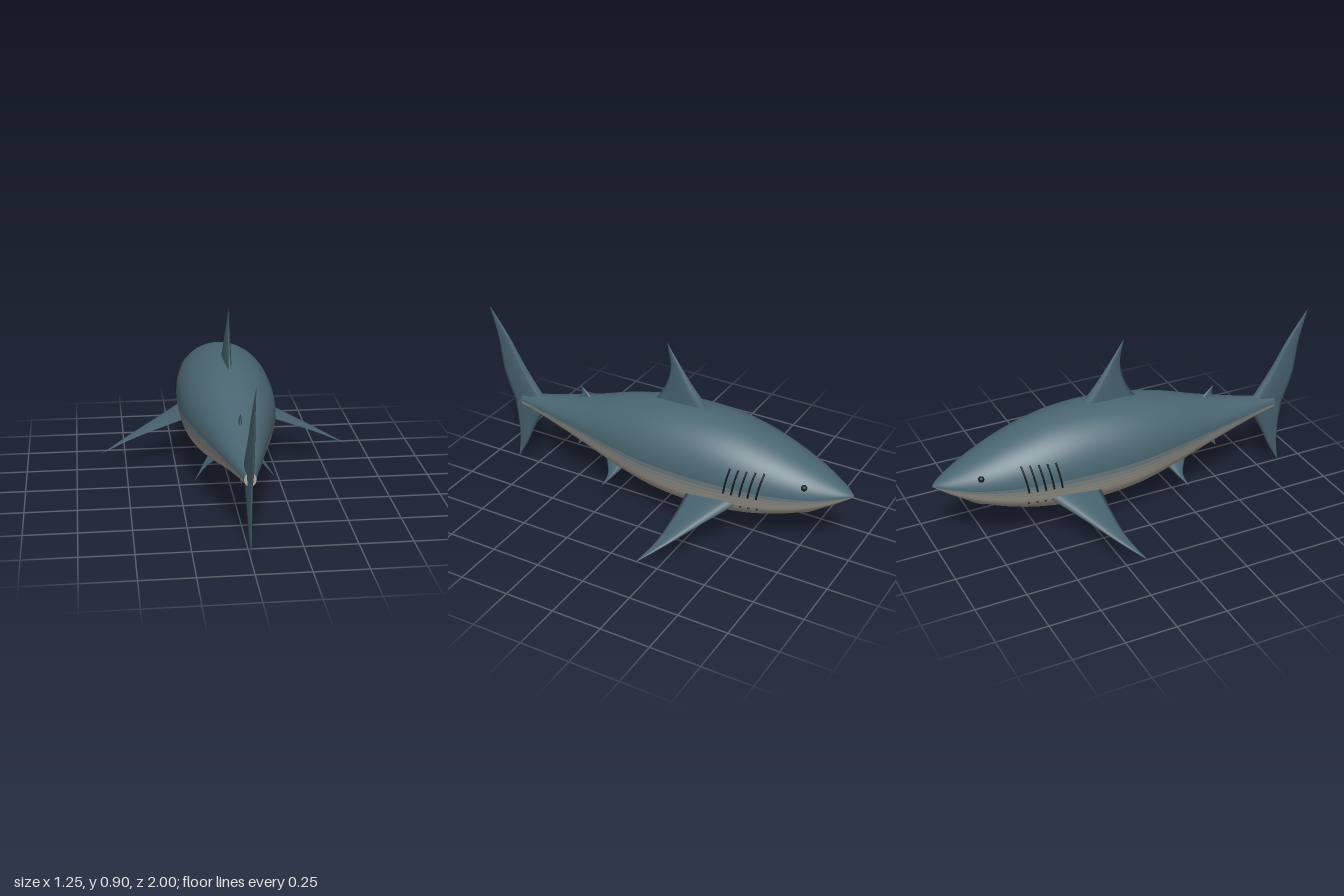
import * as THREE from 'three';

const mat = (color) => new THREE.MeshStandardMaterial({ color, roughness: 0.7 });
const V = (p) => new THREE.Vector3(...p);

// Body stations from snout (-z) to tail: z, then top, bottom, half width
const STATIONS = [
  [-1, 0.364, 0.358, 0.003], [-0.97, 0.383, 0.338, 0.035], [-0.9, 0.42, 0.292, 0.084],
  [-0.8, 0.468, 0.237, 0.136], [-0.6, 0.545, 0.166, 0.2], [-0.4, 0.595, 0.128, 0.231],
  [-0.2, 0.609, 0.117, 0.238], [0, 0.595, 0.135, 0.226], [0.2, 0.555, 0.179, 0.186],
  [0.4, 0.493, 0.236, 0.133], [0.6, 0.439, 0.289, 0.082], [0.75, 0.407, 0.319, 0.042],
  [0.82, 0.395, 0.33, 0.027],
];
const profile = new THREE.CubicInterpolant(
  STATIONS.map((s) => s[0]), STATIONS.flatMap((s) => s.slice(1)), 3);

// Point on the skin at z and angle a (0 = +x side, PI/2 = top)
function skin(z, a, lift = 0) {
  const [top, bottom, w] = profile.evaluate(z);
  return new THREE.Vector3(
    Math.cos(a) * (w + lift),
    (top + bottom) / 2 + Math.sin(a) * ((top - bottom) / 2 + lift), z);
}

// Angle on the +x side at which the skin reaches height y
function angleAt(z, y) {
  const [top, bottom] = profile.evaluate(z);
  return Math.asin(THREE.MathUtils.clamp((2 * y - top - bottom) / (top - bottom), -1, 1));
}

function geometryFrom(positions, index) {
  const g = new THREE.BufferGeometry();
  g.setAttribute('position', new THREE.Float32BufferAttribute(positions, 3));
  g.setIndex(index);
  g.computeVertexNormals();
  return g;
}

function add(group, name, geometry, material) {
  const mesh = new THREE.Mesh(geometry, material);
  mesh.name = name;
  group.add(mesh);
  return mesh;
}

// Lofted body, split into a dark back, a few blending bands and a pale belly
function buildBody(backColor, bellyColor) {
  const group = new THREE.Group();
  group.name = 'body';
  const R = 64, N = 72, BLEND = 4;
  const positions = [], all = [];
  const bands = Array.from({ length: BLEND + 2 }, () => []);
  for (let i = 0; i <= N; i++) {
    const z = -1 + 1.82 * (i / N) ** 1.2;
    for (let j = 0; j < R; j++) positions.push(...skin(z, (j / R) * Math.PI * 2).toArray());
  }
  for (let i = 0; i < N; i++) {
    for (let j = 0; j < R; j++) {
      const a = i * R + j, b = i * R + ((j + 1) % R), c = a + R, d = b + R;
      const below = j < R / 2 ? -1 : Math.min(j - R / 2, R - 1 - j);
      const quad = [a, b, c, b, d, c].reverse();
      quad.reverse();
      all.push(...quad);
      bands[THREE.MathUtils.clamp(below + 1, 0, BLEND + 1)].push(...quad);
    }
  }
  const whole = geometryFrom(positions, all);
  bands.forEach((index, k) => {
    const g = new THREE.BufferGeometry();
    g.setAttribute('position', whole.attributes.position);
    g.setAttribute('normal', whole.attributes.normal);
    g.setIndex(index);
    const color = new THREE.Color(backColor).lerp(new THREE.Color(bellyColor), k / (BLEND + 1));
    add(group, k === 0 ? 'back' : k > BLEND ? 'belly' : 'flankBand' + k, g, mat(color));
  });
  // flat end of the tail stem
  const [top, bottom, w] = profile.evaluate(0.82);
  const cap = add(group, 'tailStemEnd', new THREE.CircleGeometry(1, 32), mat(bellyColor));
  cap.scale.set(w, (top - bottom) / 2, 1);
  cap.position.set(0, (top + bottom) / 2, 0.82);
  return group;
}

// Fin lofted between a leading and a trailing edge that meet at the tip
function finGeometry(lead, trail, half) {
  const le = new THREE.CatmullRomCurve3(lead.map(V));
  const te = new THREE.CatmullRomCurve3(trail.map(V));
  const chord = te.getPoint(0).sub(le.getPoint(0));
  const normal = chord.cross(le.getPoint(1).sub(le.getPoint(0))).normalize();
  const K = 10, ROWS = 20, L = 2 * K, positions = [], index = [];
  for (let i = 0; i <= ROWS; i++) {
    const t = i / ROWS, a = le.getPoint(t), b = te.getPoint(t);
    for (let j = 0; j < L; j++) {
      const u = (j <= K ? j : L - j) / K;
      const h = (j <= K ? 1 : -1) * half * (1 - t) * 2.6 * Math.sqrt(u) * (1 - u);
      positions.push(...a.clone().lerp(b, u).addScaledVector(normal, h).toArray());
      if (i === ROWS) continue;
      const p = i * L + j, q = i * L + ((j + 1) % L);
      index.push(p, q, p + L, q, q + L, p + L);
    }
  }
  return geometryFrom(positions, index);
}

// Edges given as [y, z] on the centre plane
const midFin = (lead, trail, half) =>
  finGeometry(lead.map(([y, z]) => [0, y, z]), trail.map(([y, z]) => [0, y, z]), half);

export function createModel() {
  const model = new THREE.Group();
  model.name = 'shark';
  const BACK = 0x4a6672, BELLY = 0xb4ac9e;
  const finMat = mat(0x456070);
  finMat.color.set(0x46616d);
  const dark = mat(0x14181b);

  model.add(buildBody(BACK, BELLY));

  // Fins on the centre line
  add(model, 'dorsalFin', midFin(
    [[0.56, -0.29], [0.7, -0.165], [0.8, -0.09], [0.9, -0.02]],
    [[0.55, 0.065], [0.67, -0.012], [0.78, -0.04], [0.9, -0.02]], 0.024), finMat);
  add(model, 'secondDorsalFin', midFin(
    [[0.465, 0.385], [0.497, 0.42], [0.54, 0.472]],
    [[0.455, 0.495], [0.5, 0.464], [0.54, 0.472]], 0.012), finMat);
  add(model, 'analFin', midFin(
    [[0.275, 0.41], [0.235, 0.445], [0.187, 0.497]],
    [[0.285, 0.52], [0.235, 0.492], [0.187, 0.497]], 0.012), finMat);
  add(model, 'upperTailLobe', midFin(
    [[0.36, 0.66], [0.545, 0.795], [0.71, 0.897], [0.847, 1]],
    [[0.36, 0.885], [0.5, 0.932], [0.68, 0.957], [0.847, 1]], 0.022), finMat);
  add(model, 'lowerTailLobe', midFin(
    [[0.37, 0.67], [0.235, 0.75], [0.11, 0.81], [0, 0.875]],
    [[0.37, 0.882], [0.25, 0.866], [0.13, 0.86], [0, 0.875]], 0.02), finMat);

  for (const s of [1, -1]) {
    const side = s > 0 ? 'left' : 'right';
    const mirror = (pts) => pts.map(([x, y, z]) => [s * x, y, z]);

    // Paired fins
    add(model, side + 'PectoralFin', finGeometry(
      mirror([[0.17, 0.268, -0.51], [0.34, 0.205, -0.395], [0.49, 0.15, -0.3], [0.625, 0.1, -0.205]]),
      mirror([[0.17, 0.268, -0.24], [0.34, 0.205, -0.249], [0.49, 0.15, -0.241], [0.625, 0.1, -0.205]]),
      0.02), finMat);
    add(model, side + 'PelvicFin', finGeometry(
      mirror([[0.1, 0.235, 0.145], [0.15, 0.175, 0.195], [0.193, 0.123, 0.243]]),
      mirror([[0.1, 0.235, 0.268], [0.15, 0.175, 0.23], [0.193, 0.123, 0.243]]),
      0.013), finMat);

    // Eye
    const eye = add(model, side + 'Eye', new THREE.SphereGeometry(0.015, 20, 14), dark);
    eye.position.copy(skin(-0.8, angleAt(-0.8, 0.41), -0.004));
    eye.position.x *= s;

    // Gill slits, each with a small pore beneath
    for (let k = 0; k < 5; k++) {
      const z = -0.455 - k * 0.039;
      const path = [0, 0.25, 0.5, 0.75, 1].map((t) => {
        const zz = z + 0.01 - 0.022 * t;
        const p = skin(zz, angleAt(zz, 0.328 + 0.128 * t), 0.001);
        p.x *= s;
        return p;
      });
      add(model, side + 'GillSlit' + (k + 1),
        new THREE.TubeGeometry(new THREE.CatmullRomCurve3(path), 16, 0.0045, 6), dark);
      if (k === 0) continue;
      const pore = add(model, side + 'GillPore' + k, new THREE.SphereGeometry(0.006, 10, 8), dark);
      pore.position.copy(skin(z + 0.015, angleAt(z + 0.015, 0.257)));
      pore.position.x *= s;
    }
  }

  // Mouth line curving under the snout
  const mouth = [];
  for (let k = -6; k <= 6; k++) {
    const t = k / 6;
    mouth.push(skin(-0.86 + 0.08 * t * t, -Math.PI / 2 + t * 0.62, 0.001));
  }
  add(model, 'mouth', new THREE.TubeGeometry(new THREE.CatmullRomCurve3(mouth), 40, 0.005, 6), dark);

  return model;
}
